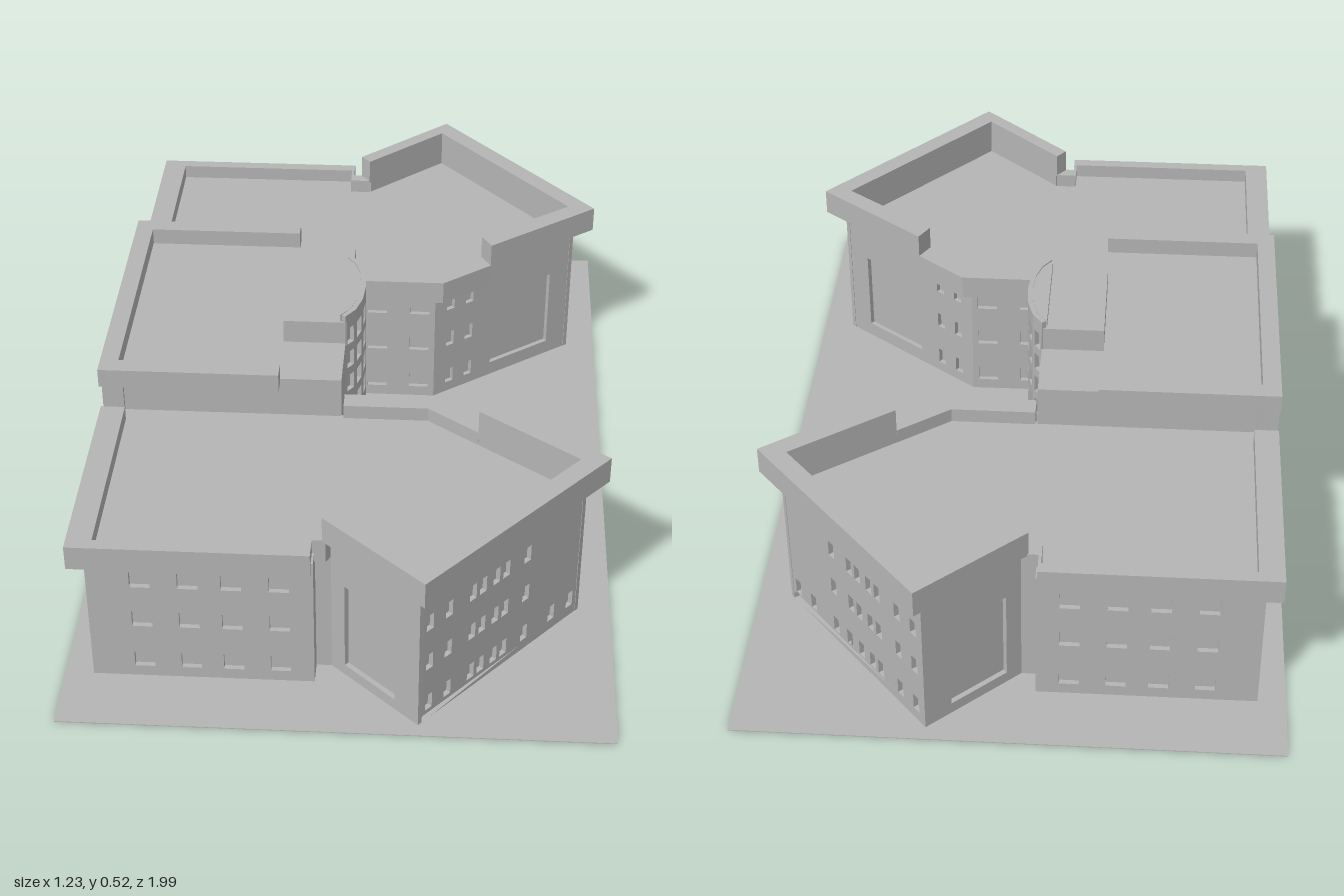
import * as THREE from 'three';

const wallGrey = new THREE.MeshStandardMaterial({ color: 0xb4b4b4 });
wallGrey.name = 'wall grey';
const T = 0.012; // depth of the window recesses

function mesh(parent, name, geometry) {
  const m = new THREE.Mesh(geometry, wallGrey);
  m.name = name;
  parent.add(m);
  return m;
}

function outline(points, Kind = THREE.Shape) {
  return new Kind(points.map(([x, y]) => new THREE.Vector2(x, y)));
}

// Plan outline of [x, z] points raised from y0 to y1
function slab(parent, name, plan, y0, y1) {
  const g = new THREE.ExtrudeGeometry(outline(plan), { depth: y1 - y0, bevelEnabled: false });
  g.rotateX(Math.PI / 2).translate(0, y1, 0);
  return mesh(parent, name, g);
}

// Upright wall skin from a to b (outside on the right of travel, seen from above with z down reversed)
// holes: [centre along wall, bottom, width, height]
function panel(parent, name, a, b, y0, y1, holes = [], mirrored = false) {
  const L = Math.hypot(b[0] - a[0], b[1] - a[1]);
  const shape = outline([[0, y0], [L, y0], [L, y1], [0, y1]]);
  for (const [c, y, w, h] of holes) {
    const u = (mirrored ? L - c : c) - w / 2;
    shape.holes.push(outline([[u, y], [u, y + h], [u + w, y + h], [u + w, y]], THREE.Path));
  }
  const g = new THREE.ExtrudeGeometry(shape, { depth: T, bevelEnabled: false });
  g.rotateY(Math.atan2(a[1] - b[1], b[0] - a[0])).translate(a[0], 0, a[1]);
  return mesh(parent, name, g);
}

// Mitred inset of a closed outline
function inset(pts, d) {
  const n = pts.length;
  const normal = (p, q) => {
    const l = Math.hypot(q[0] - p[0], q[1] - p[1]);
    return [-(q[1] - p[1]) / l, (q[0] - p[0]) / l];
  };
  return pts.map((p, i) => {
    const m = normal(pts[(i + n - 1) % n], p), k = normal(p, pts[(i + 1) % n]);
    const s = d / (1 + m[0] * k[0] + m[1] * k[1]);
    return [p[0] + (m[0] + k[0]) * s, p[1] + (m[1] + k[1]) * s];
  });
}

const FLOORS = [0.03, 0.148, 0.26];
const rows = (centres, w, h = 0.042) => FLOORS.flatMap(y => centres.map(c => [c, y, w, h]));

// One side wing: a long block joined to a pointed block, s = 1 front or -1 rear
function wing(s) {
  const group = new THREE.Group();
  group.name = s > 0 ? 'frontWing' : 'rearWing';
  const flip = pts => pts.map(([x, z]) => [x, z * s]);
  const W = [[-0.545, 0.29], [0.18, 0.285], [0.54, 0.55], [0.18, 0.955],
    [-0.02, 0.775], [-0.055, 0.775], [-0.055, 0.83], [-0.545, 0.83]];
  const core = inset(W, T);
  slab(group, 'wingCore', flip(core), 0, 0.345);

  // Window layout of each wall
  const tip = [0.94, 0.83, 0.69, 0.63, 0.55, 0.49, 0.36].map(t => t * 0.542);
  const holes = [
    rows([0.575, 0.685], 0.05),
    [[0.28, 0.04, 0.19, 0.215], ...rows([0.05, 0.11], 0.024)],
    [...rows(tip, 0.022), [0.1, 0.03, 0.022, 0.042], [0.035, 0.03, 0.022, 0.042], [0.25, 0.03, 0.022, 0.042]],
    [[0.15, 0.03, 0.155, 0.23]],
    [], [],
    rows([0.075, 0.18, 0.275, 0.38], 0.045),
    rows([0.07, 0.13, 0.23, 0.29, 0.39, 0.45], 0.045),
  ];
  const tall = [1, 2, 3];
  W.forEach((p, i) => {
    const [a, b] = flip([p, W[(i + 1) % W.length]]);
    const ends = s > 0 ? [a, b] : [b, a];
    panel(group, 'wingWall', ...ends, 0, tall.includes(i) ? 0.376 : 0.345, holes[i], s < 0);
  });

  // Raised frame around the windows of the long end wall
  const ends = flip([[-0.553, 0.83], [-0.553, 0.3]]);
  if (s < 0) ends.reverse();
  panel(group, 'windowFrame', ...ends, 0, 0.32, [[0.265, 0.02, 0.49, 0.29]], s < 0);

  // Overhanging parapets, high round the point and low elsewhere
  const split = [0.295, 0.385], outerSplit = [0.32, 0.342];
  slab(group, 'highParapet', flip([outerSplit, [0.59, 0.545], [0.19, 0.995], [-0.038, 0.79],
    core[4], core[3], core[2], split]), 0.375, 0.44);
  slab(group, 'lowParapetInner', flip([[-0.022, 0.25], [0.2, 0.25], outerSplit, split,
    core[1], [-0.022, 0.297]]), 0.32, 0.38);
  slab(group, 'lowParapetOuter', flip([[-0.03, 0.793], [-0.06, 0.793], [-0.06, 0.847], [-0.59, 0.847],
    [-0.59, 0.33], [-0.533, 0.33], core[7], core[6], core[5], core[4]]), 0.32, 0.38);
  return group;
}

function centre() {
  const group = new THREE.Group();
  group.name = 'centreBlock';
  // Body with a deep recess in its long outer side
  slab(group, 'centreBody', [[-0.545, -0.295], [-0.027, -0.295], [-0.027, 0.29], [-0.545, 0.29],
    [-0.545, 0.14], [-0.38, 0.14], [-0.38, -0.14], [-0.545, -0.14]], 0, 0.41);
  slab(group, 'centreRoof', [[-0.56, -0.295], [-0.027, -0.295], [-0.027, 0.29], [-0.56, 0.29]], 0.41, 0.447);
  slab(group, 'centreParapet', [[-0.17, 0.335], [-0.59, 0.335], [-0.59, -0.34], [-0.17, -0.34],
    [-0.17, -0.297], [-0.547, -0.297], [-0.547, 0.292], [-0.17, 0.292]], 0.44, 0.487);

  // Two window bays standing clear of the ground
  for (const z of [-0.3, 0.14]) {
    slab(group, 'bayCore', [[-0.578, z], [-0.54, z], [-0.54, z + 0.16], [-0.578, z + 0.16]], 0.08, 0.445);
    const openings = [0.11, 0.22, 0.33].flatMap(y => [0.045, 0.115].map(u => [u, y, 0.045, 0.065]));
    panel(group, 'bayWall', [-0.59, z + 0.16], [-0.59, z], 0.08, 0.445, openings);
  }

  // Roof room and the faceted bow front with its window grid
  slab(group, 'roofRoom', [[-0.175, -0.135], [-0.025, -0.135], [-0.025, 0.135], [-0.175, 0.135]], 0.44, 0.506);
  const bow = [[-0.027, -0.137], [-0.004, -0.105], [0.01, -0.06], [0.015, 0],
    [0.01, 0.06], [-0.004, 0.105], [-0.027, 0.137]];
  slab(group, 'bowCore', bow.map(([x, z]) => [x - T, z * 0.94]), 0.08, 0.524);
  for (let i = 0; i < bow.length - 1; i++) {
    const [a, b] = [bow[i], bow[i + 1]];
    const L = Math.hypot(b[0] - a[0], b[1] - a[1]);
    const openings = [0, 1, 2, 3, 4, 5].map(r => [L / 2, 0.1 + r * 0.068, L * 0.6, 0.045]);
    panel(group, 'bowWall', a, b, 0.08, 0.525, openings);
  }
  // Canopy beside the bow front
  slab(group, 'canopy', [[-0.03, -0.285], [-0.015, -0.285], [-0.015, -0.125], [-0.03, -0.125]], 0.115, 0.16);
  return group;
}

export function createModel() {
  const model = new THREE.Group();
  model.name = 'building';
  slab(model, 'ground', [[-0.617, -0.99], [0.615, -0.99], [0.615, 0.987], [-0.617, 0.987]], 0, 0.002);
  model.add(wing(1), wing(-1), centre());
  return model;
}
